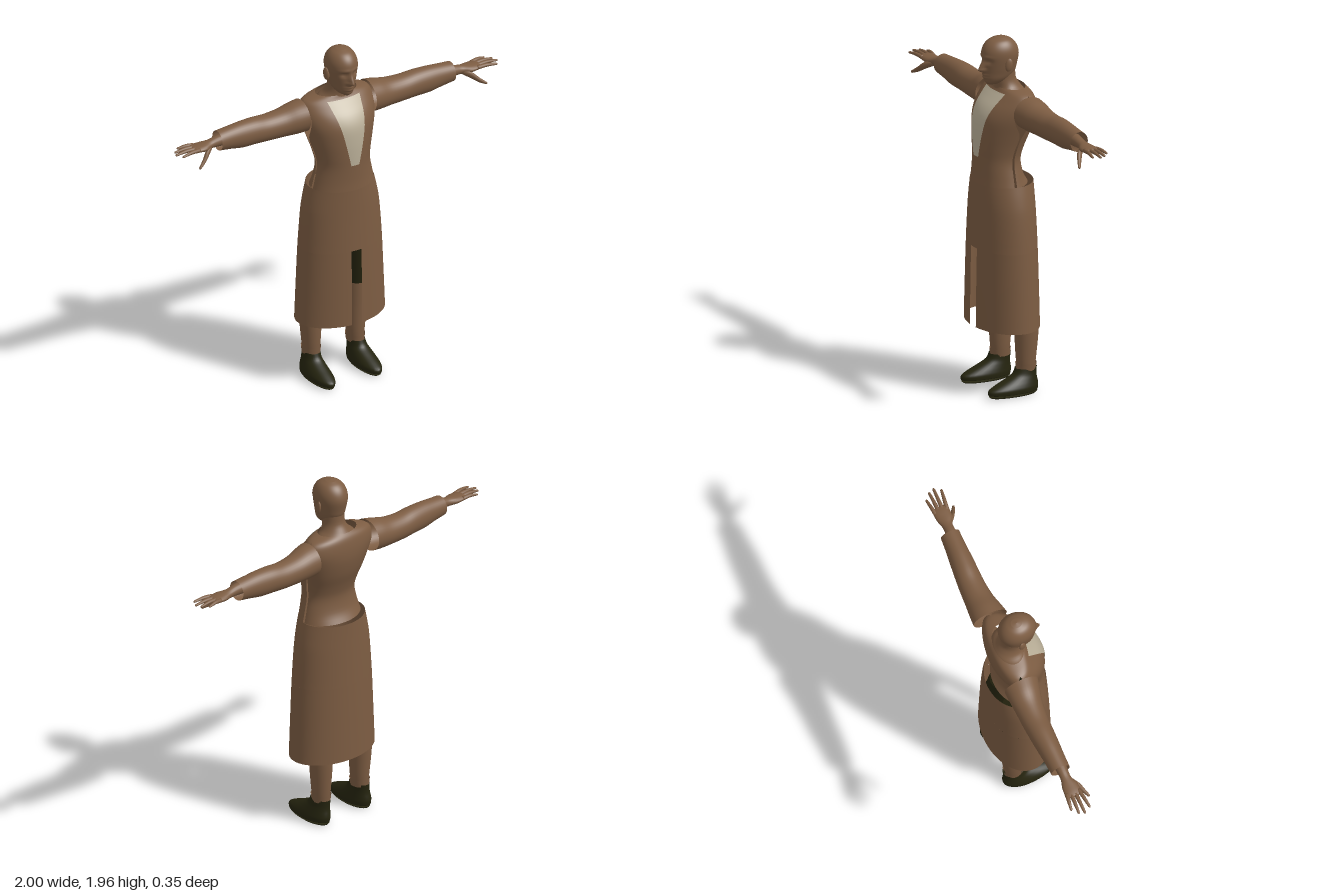
import * as THREE from 'three';

const mat = (name, color, side = THREE.FrontSide) => {
  const m = new THREE.MeshStandardMaterial({ color, side });
  m.name = name;
  return m;
};

// Catmull-Rom interpolation between rows of numbers
function refine(rows, n) {
  const out = [];
  for (let i = 0; i < rows.length - 1; i++) {
    const a = rows[Math.max(i - 1, 0)], b = rows[i], c = rows[i + 1], d = rows[Math.min(i + 2, rows.length - 1)];
    for (let k = 0; k < n; k++) {
      const t = k / n;
      out.push(b.map((v, j) => {
        const cubic = 3 * (v - c[j]) + d[j] - a[j];
        const square = 2 * a[j] - 5 * v + 4 * c[j] - d[j];
        return v + 0.5 * t * (c[j] - a[j] + t * (square + t * cubic));
      }));
    }
  }
  out.push(rows[rows.length - 1]);
  return out;
}

// Skin over rows of points; closed rows wrap around
function skin(rows, closed) {
  const w = rows[0].length, pos = rows.flat(2), idx = [];
  for (let i = 0; i < rows.length - 1; i++) {
    for (let j = 0; j < (closed ? w : w - 1); j++) {
      const a = i * w + j, b = i * w + (j + 1) % w;
      idx.push(a, a + w, b, b, a + w, b + w);
    }
  }
  const g = new THREE.BufferGeometry();
  g.setAttribute('position', new THREE.Float32BufferAttribute(pos, 3));
  g.setIndex(idx);
  g.computeVertexNormals();
  return g;
}

// Upright form; ring = [y, centreX, centreZ, halfWidth, frontZ, backZ, sideGap]
const around = (r, t) => {
  const s = Math.sin(t);
  return [r[1] + r[3] * Math.cos(t), r[0], r[2] + (s > 0 ? r[4] - r[2] : r[2] - r[5]) * s];
};
function upright(rings, seg, span) {
  const rows = rings.map((r) => {
    const [a, b] = span ? span(r) : [0, 2 * Math.PI];
    return Array.from({ length: span ? seg + 1 : seg }, (_, j) => around(r, a + (b - a) * j / seg));
  });
  return skin(rows, !span);
}
// Tiny ring that caps an upright form
const close = (r, y) => {
  const z = (r[4] + r[5]) / 2;
  return [y, r[1], z, 0.001, z + 0.001, z - 0.001];
};

// Sideways form; ring = [x, y, z, halfHeight, halfDepth]
function sideways(rings, seg, capped) {
  const all = refine(rings, 4);
  if (capped) {
    const f = all[0], l = all[all.length - 1];
    all.unshift([f[0], f[1], f[2], 0.0005, 0.0005]);
    all.push([l[0] + 0.004, l[1], l[2], l[3] * 0.65, l[4] * 0.65], [l[0] + 0.006, l[1], l[2], 0.0005, 0.0005]);
  }
  return skin(all.map((r) => Array.from({ length: seg }, (_, j) => {
    const t = 2 * Math.PI * j / seg;
    return [r[0], r[1] + r[3] * Math.sin(t), r[2] + r[4] * Math.cos(t)];
  })), true);
}

function mirrored(g) {
  const m = g.clone().scale(-1, 1, 1), ix = m.index.array;
  for (let i = 0; i < ix.length; i += 3) [ix[i], ix[i + 1]] = [ix[i + 1], ix[i]];
  m.computeVertexNormals();
  return m;
}

export function createModel() {
  const group = new THREE.Group();
  const brown = mat('brown', 0x7c5c42, THREE.DoubleSide);
  const cream = mat('cream shirt', 0xb9ae97, THREE.DoubleSide);
  const dark = mat('dark leather', 0x25240f, THREE.DoubleSide);
  const add = (name, geo, m) => {
    const mesh = new THREE.Mesh(geo, m);
    mesh.name = name;
    group.add(mesh);
  };
  const pair = (name, geo, m) => {
    add('left' + name, geo, m);
    add('right' + name, mirrored(geo), m);
  };

  // Head, with nose, eye sockets, brow and lips pushed out of the surface
  const headRings = refine([
    [1.708, 0, 0.05, 0.022, 0.09, 0.02], [1.722, 0, 0.04, 0.042, 0.104, 0],
    [1.745, 0, 0.025, 0.058, 0.109, -0.045], [1.775, 0, 0.01, 0.068, 0.112, -0.07],
    [1.81, 0, 0.01, 0.076, 0.114, -0.08], [1.86, 0, 0.01, 0.084, 0.118, -0.09],
    [1.895, 0, 0.01, 0.083, 0.115, -0.085], [1.925, 0, 0.01, 0.072, 0.1, -0.07],
    [1.947, 0, 0.01, 0.053, 0.075, -0.047], [1.96, 0, 0.01, 0.026, 0.04, -0.018],
  ], 6);
  headRings.unshift(close(headRings[0], 1.708));
  headRings.push(close(headRings[headRings.length - 1], 1.964));
  const head = upright(headRings, 72);
  const p = head.attributes.position;
  const bump = (v, c, w) => Math.exp(-(((v - c) / w) ** 2));
  for (let i = 0; i < p.count; i++) {
    const x = Math.abs(p.getX(i)), y = p.getY(i);
    if (p.getZ(i) < 0.05) continue;
    const nose = 0.033 * bump(x, 0, y < 1.8 ? 0.016 : 0.012) * bump(y, 1.792, y < 1.792 ? 0.013 : 0.04);
    const socket = 0.013 * bump(x, 0.033, 0.018) * bump(y, 1.843, 0.013);
    const brow = 0.005 * bump(x, 0.03, 0.03) * bump(y, 1.866, 0.009);
    const lips = 0.009 * bump(x, 0, 0.022) * (bump(y, 1.764, 0.006) + bump(y, 1.749, 0.006));
    p.setZ(i, p.getZ(i) + nose - socket + brow + lips);
  }
  head.computeVertexNormals();
  add('head', head, brown);
  const ear = new THREE.SphereGeometry(1, 16, 12).scale(0.01, 0.036, 0.02).rotateY(-0.35).rotateX(-0.15);
  pair('Ear', ear.translate(0.087, 1.825, 0.008), brown);
  add('neck', upright(refine([
    [1.62, 0, -0.03, 0.13, 0.08, -0.12], [1.66, 0, -0.03, 0.11, 0.05, -0.118],
    [1.69, 0, -0.02, 0.076, 0.042, -0.098], [1.73, 0, -0.01, 0.06, 0.047, -0.075],
    [1.79, 0, -0.01, 0.06, 0.05, -0.07],
  ], 4), 36), brown);

  // Coat body: open front and back shells, side gaps widening into armholes
  const torso = refine([
    [1.165, 0, 0.02, 0.183, 0.16, -0.12, 0.05], [1.22, 0, 0.02, 0.17, 0.157, -0.09, 0.05],
    [1.3, 0, 0.02, 0.155, 0.157, -0.078, 0.05], [1.37, 0, 0.01, 0.165, 0.158, -0.095, 0.05],
    [1.45, 0, -0.01, 0.187, 0.156, -0.125, 0.06], [1.53, 0, -0.03, 0.21, 0.146, -0.143, 0.36],
    [1.59, 0, -0.05, 0.222, 0.118, -0.146, 0.5], [1.64, 0, -0.055, 0.215, 0.075, -0.14, 0.34],
    [1.67, 0, -0.05, 0.188, 0.048, -0.13, 0], [1.69, 0, -0.04, 0.12, 0.038, -0.115, 0],
  ], 4);
  add('coatFront', upright(torso, 40, (r) => [r[6], Math.PI - r[6]]), brown);
  add('coatBack', upright(torso, 40, (r) => [Math.PI + r[6], 2 * Math.PI - r[6]]), brown);

  // Shirt panel following the chest
  const bib = torso.filter((r) => r[0] > 1.31 && r[0] < 1.672).map((r) => {
    const half = 0.024 + 0.076 * (r[0] - 1.315) / 0.355;
    return Array.from({ length: 13 }, (_, j) => {
      const q = around(r, Math.acos(half * (1 - j / 6) / r[3]));
      return [q[0], q[1], q[2] + 0.005];
    });
  });
  add('shirtPanel', skin(bib, false), cream);

  // Long skirt, split at the lower front
  const skirt = refine([
    [0.37, 0, 0, 0.26, 0.18, -0.176], [0.6, 0, 0, 0.25, 0.177, -0.172], [0.81, 0, 0, 0.24, 0.173, -0.167],
    [1.0, 0, 0, 0.225, 0.168, -0.161], [1.09, 0, 0, 0.21, 0.166, -0.158], [1.17, 0, 0, 0.19, 0.164, -0.156],
  ], 4);
  add('skirtUpper', upright(skirt.slice(8), 64), brown);
  add('skirtLower', upright(skirt.slice(0, 9), 64, (r) => {
    const d = Math.asin(0.031 / r[3]);
    return [Math.PI / 2 + d, Math.PI * 2.5 - d];
  }), brown);

  // Sleeves, open at both ends
  pair('Sleeve', sideways([
    [0.205, 1.583, -0.05, 0.088, 0.096], [0.26, 1.576, -0.055, 0.086, 0.088], [0.33, 1.567, -0.06, 0.077, 0.077],
    [0.42, 1.564, -0.062, 0.073, 0.07], [0.5, 1.569, -0.06, 0.074, 0.066], [0.58, 1.57, -0.057, 0.073, 0.061],
    [0.65, 1.574, -0.055, 0.064, 0.056], [0.725, 1.577, -0.053, 0.055, 0.053],
  ], 36, false), brown);

  // Hands
  pair('Palm', sideways([
    [0.69, 1.583, -0.045, 0.034, 0.034], [0.74, 1.58, -0.045, 0.029, 0.029], [0.78, 1.576, -0.045, 0.024, 0.029],
    [0.82, 1.574, -0.042, 0.022, 0.043], [0.86, 1.576, -0.043, 0.017, 0.045], [0.885, 1.577, -0.044, 0.012, 0.042],
  ], 20, true), brown);
  const fingers = [[-0.01, 0.006, 0.972], [-0.033, -0.03, 0.994], [-0.055, -0.06, 0.982], [-0.077, -0.09, 0.95]];
  fingers.forEach(([z0, z1, tip], i) => {
    const finger = sideways([
      [0.86, 1.577, z0, 0.012, 0.012],
      [(0.86 + tip) / 2, 1.582, (z0 + z1) / 2, 0.01, 0.01],
      [tip, 1.576, z1, 0.006, 0.007],
    ], 10, true);
    pair('Finger' + (i + 1), finger, brown);
  });
  pair('Thumb', sideways([
    [0.775, 1.569, -0.035, 0.014, 0.014], [0.82, 1.548, -0.002, 0.02, 0.016],
    [0.855, 1.52, 0.02, 0.015, 0.012], [0.888, 1.5, 0.038, 0.008, 0.008],
  ], 12, true), brown);

  // Legs, cuffs and boots
  pair('Thigh', upright(refine([
    [0.5, 0.134, -0.06, 0.062, 0.012, -0.135], [0.7, 0.115, -0.04, 0.073, 0.05, -0.125],
    [0.82, 0.1, -0.02, 0.082, 0.07, -0.11], [0.95, 0.085, -0.01, 0.08, 0.08, -0.1],
  ], 3), 24), dark);
  pair('LowerLeg', upright(refine([
    [0.12, 0.137, -0.065, 0.04, -0.02, -0.112], [0.2, 0.137, -0.066, 0.05, -0.01, -0.122],
    [0.37, 0.139, -0.067, 0.061, 0, -0.136], [0.52, 0.133, -0.062, 0.064, 0.01, -0.138],
  ], 4), 28), brown);
  pair('Cuff', upright([
    [0.128, 0.137, -0.066, 0.047, -0.012, -0.12], [0.168, 0.137, -0.066, 0.052, -0.008, -0.124],
  ], 28), brown);
  const boot = refine([
    [0.018, 0.145, -0.01, 0.062, 0.165, -0.128], [0.04, 0.145, -0.01, 0.064, 0.163, -0.132],
    [0.06, 0.144, -0.02, 0.06, 0.125, -0.13], [0.085, 0.142, -0.04, 0.053, 0.065, -0.125],
    [0.11, 0.14, -0.055, 0.047, 0.015, -0.124], [0.142, 0.138, -0.062, 0.045, -0.002, -0.127],
  ], 4);
  boot.unshift(close(boot[0], 0.018));
  pair('Boot', upright(boot, 32), dark);
  const sole = [[0, 0.145, -0.01, 0.05, 0.15, -0.12], [0.009, 0.145, -0.01, 0.056, 0.162, -0.127]];
  pair('Sole', upright([close(sole[0], 0), ...sole, close(sole[1], 0.009)], 32), dark);

  return group;
}
